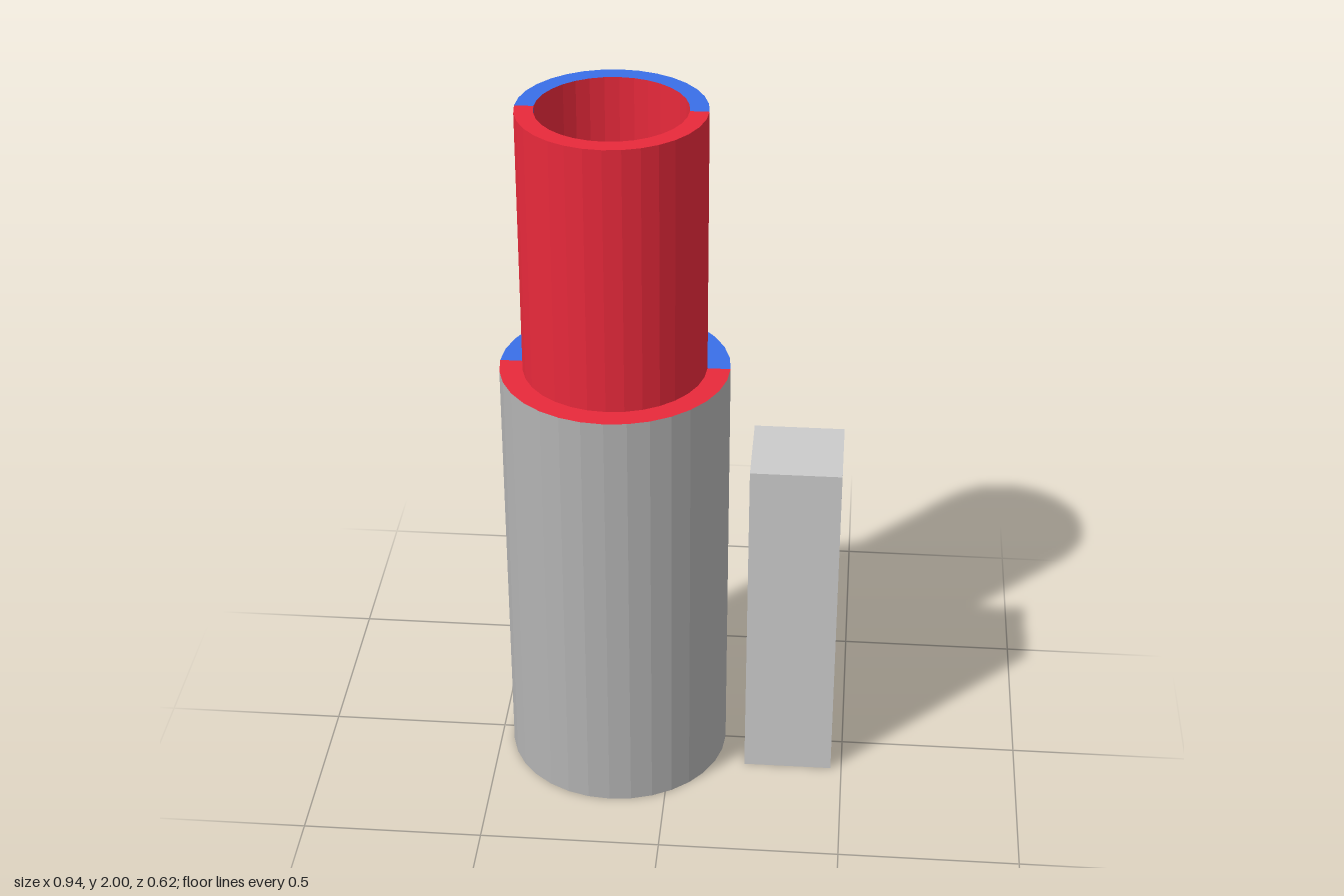
import * as THREE from 'three';

const SIDES = 32;
const RED = 0xe8293b, BLUE = 0x3a6fe8, YELLOW = 0xe8de56;
const BASE_R = 0.3125, TUBE_R = 0.25, BORE_R = 0.2;
const BASE_H = 1.25, TOP = 2;

export function createModel() {
  const model = new THREE.Group();
  const stepped = new THREE.Group();
  stepped.name = 'steppedTube';
  stepped.position.x = -0.156;
  model.add(stepped);

  const add = (parent, name, geometry, color) => {
    const material = new THREE.MeshStandardMaterial({ color, flatShading: true });
    const mesh = new THREE.Mesh(geometry, material);
    mesh.name = name;
    parent.add(mesh);
    return mesh;
  };

  // Revolves a profile of [radius, height] pairs; start and sweep pick the half
  const revolve = (profile, start = 0, sweep = Math.PI * 2) =>
    new THREE.LatheGeometry(
      profile.map(([r, y]) => new THREE.Vector2(r, y)),
      Math.round(SIDES * sweep / (Math.PI * 2)), start, sweep);

  // Wide lower sleeve
  add(stepped, 'lowerSleeve', revolve([[BASE_R, 0], [BASE_R, BASE_H]]), 0xb3b3b3);

  // Ledge, upper wall and rim in two colours; the bore has them swapped
  const outer = [[BASE_R, BASE_H], [TUBE_R, BASE_H], [TUBE_R, TOP], [BORE_R, TOP]];
  const bore = [[BORE_R, TOP], [BORE_R, 0]];
  const halves = [
    ['front', -Math.PI / 2, RED, BLUE],
    ['back', Math.PI / 2, BLUE, RED],
  ];
  for (const [side, start, outerColor, boreColor] of halves) {
    add(stepped, side + 'UpperTube', revolve(outer, start, Math.PI), outerColor);
    add(stepped, side + 'Bore', revolve(bore, start, Math.PI), boreColor);
  }

  // Floor disc, seen from below and down the bore
  const floor = add(stepped, 'floorDisc', new THREE.CircleGeometry(BASE_R, SIDES), YELLOW);
  floor.rotation.x = -Math.PI / 2;
  floor.material.side = THREE.DoubleSide;

  // Free-standing square post
  const post = add(model, 'squarePost', new THREE.BoxGeometry(0.25, 1, 0.25), 0xcccccc);
  post.position.set(0.344, 0.5, 0);

  return model;
}
